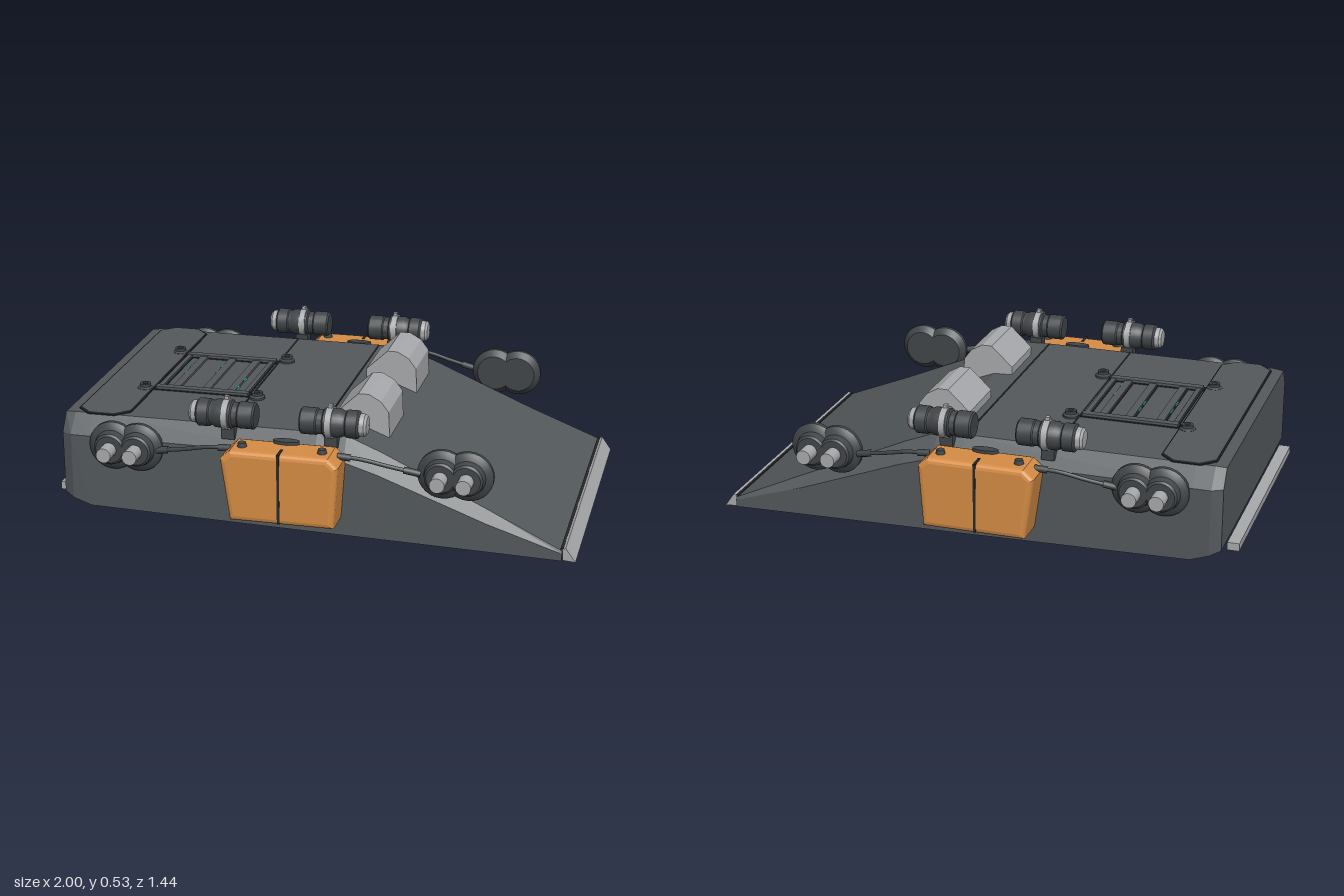
import * as THREE from 'three';
import { toCreasedNormals } from 'three/addons/utils/BufferGeometryUtils.js';

const mat = (name, color) => {
  const m = new THREE.MeshStandardMaterial({ color });
  m.name = name;
  return m;
};

export function createModel() {
  const hullGrey = mat('hull grey', 0x54595c);
  const darkGrey = mat('dark grey', 0x424649);
  const black = mat('seam black', 0x26292b);
  const steel = mat('steel', 0xa9aaad);
  const orange = mat('orange', 0xd68d45);
  const cyan = mat('cyan', 0x2fd6c4);
  const root = new THREE.Group();

  const add = (name, geo, material, x = 0, y = 0, z = 0) => {
    const m = new THREE.Mesh(geo, material);
    m.name = name;
    m.position.set(x, y, z);
    root.add(m);
    return m;
  };
  const box = (name, material, w, h, d, x, y, z) => add(name, new THREE.BoxGeometry(w, h, d), material, x, y, z);
  const lathe = (pts, seg = 28) =>
    toCreasedNormals(new THREE.LatheGeometry(pts.map(p => new THREE.Vector2(...p)), seg), 0.6);
  const poly = pts => new THREE.Shape(pts.map(p => new THREE.Vector2(...p)));
  // Profile in x-y, extruded evenly about z = 0
  const prism = (pts, depth) =>
    new THREE.ExtrudeGeometry(poly(pts), { depth, bevelEnabled: false }).translate(0, 0, -depth / 2);

  // Wedge hull: x, bottom, shoulder, top, half width at top, half width at side
  const stations = [
    [-0.95, 0.09, 0.33, 0.396, 0.515, 0.56],
    [-0.91, 0.075, 0.33, 0.4, 0.52, 0.583],
    [-0.84, 0.05, 0.33, 0.4, 0.52, 0.583],
    [0.03, 0.028, 0.33, 0.4, 0.52, 0.583],
    [0.14, 0.026, 0.315, 0.396, 0.523, 0.583],
    [0.27, 0.023, 0.275, 0.345, 0.527, 0.583],
    [0.67, 0.014, 0.125, 0.167, 0.547, 0.583],
    [0.95, 0.007, 0.035, 0.045, 0.578, 0.583],
  ];
  const rings = stations.map(([x, b, s, t, zt, zs]) =>
    [[x, t, -zt], [x, t, zt], [x, s, zs], [x, b, zs], [x, b, -zs], [x, s, -zs]]);
  const v = [];
  for (let i = 0; i < rings.length - 1; i++) {
    const a = rings[i], b = rings[i + 1];
    for (let j = 0; j < 6; j++) {
      const k = (j + 1) % 6;
      v.push(...a[j], ...a[k], ...b[k], ...a[j], ...b[k], ...b[j]);
    }
  }
  const rear = rings[0], nose = rings[rings.length - 1];
  for (let j = 1; j < 5; j++) v.push(...nose[0], ...nose[j], ...nose[j + 1], ...rear[0], ...rear[j + 1], ...rear[j]);
  const hull = new THREE.BufferGeometry();
  hull.setAttribute('position', new THREE.Float32BufferAttribute(v, 3));
  hull.computeVertexNormals();
  add('hull', hull, hullGrey);

  // Scoop lip, rear bar and skid rails
  add('frontLip', prism([[0.952, 0.007], [1, 0.003], [0.963, 0.055], [0.952, 0.05]], 1.15), steel);
  box('lipSeam', black, 0.01, 0.008, 1.15, 0.949, 0.049, 0);
  box('rearBar', steel, 0.045, 0.03, 0.96, -0.977, 0.075, 0);
  for (const s of [1, -1])
    add('skidRail', prism([[-0.45, 0.05], [-0.45, 0.026], [0.62, 0], [0.63, 0.02]], 0.05), steel, 0, 0, s * 0.365);

  // Octagonal rear hatch, laid flat over a slightly larger dark seam
  const octagon = (x0, x1, z, c) => [[x0 + c, -z], [x1 - c, -z], [x1, c - z], [x1, z - c],
    [x1 - c, z], [x0 + c, z], [x0, z - c], [x0, c - z]];
  const flat = (pts, h) =>
    new THREE.ExtrudeGeometry(poly(pts), { depth: h, bevelEnabled: false }).rotateX(-Math.PI / 2);
  add('hatchSeam', flat(octagon(-0.908, -0.702, 0.533, 0.05), 0.004), black, 0, 0.4, 0);
  add('rearHatch', flat(octagon(-0.903, -0.707, 0.528, 0.05), 0.007), hullGrey, 0, 0.4, 0);
  for (const x of [-0.315, 0.03]) box('deckSeam', black, 0.006, 0.004, 1.03, x, 0.4, 0);

  // Vent grate with slats and small lights tucked against them
  for (const s of [1, -1]) {
    box('grateEndRail', hullGrey, 0.37, 0.014, 0.03, -0.51, 0.406, s * 0.2);
    box('grateSeam', black, 0.38, 0.004, 0.042, -0.51, 0.401, s * 0.2);
    box('grateSideRail', hullGrey, 0.018, 0.012, 0.4, -0.51 + s * 0.172, 0.405, 0);
    box('grateSeam', black, 0.028, 0.004, 0.41, -0.51 + s * 0.172, 0.401, 0);
  }
  for (const x of [-0.62, -0.5, -0.4]) {
    box('slatSeam', black, 0.009, 0.004, 0.36, x - 0.016, 0.401, 0);
    box('slat', hullGrey, 0.03, 0.01, 0.36, x, 0.405, 0);
  }
  for (const [x, z] of [[-0.383, 0.14], [-0.383, 0.04], [-0.638, -0.07], [-0.518, -0.02], [-0.518, -0.09], [-0.638, 0.01]])
    box('ventLight', cyan, 0.004, 0.008, 0.035, x, 0.405, z);

  // Deck bolts
  const bolt = lathe([[0.031, 0], [0.031, 0.008], [0.022, 0.014], [0.022, 0.025], [0.011, 0.025], [0.011, 0.018], [0, 0.018]], 16);
  for (const x of [-0.735, -0.285])
    for (const z of [-0.225, 0.22]) add('deckBolt', bolt, darkGrey, x, 0.4, z);

  // Angled housings on the slope
  for (const s of [1, -1])
    add('slopeHousing', prism([[0.065, 0.38], [0.27, 0.33], [0.265, 0.445], [0.235, 0.485], [0.19, 0.51],
      [0.15, 0.51], [0.065, 0.43]], 0.25), steel, 0, 0, s * 0.253);

  // Lamp pointing along x; d gives the direction of the lens
  const lamp = (x, z, d) => {
    const turn = g => g.rotateZ(-d * Math.PI / 2);
    add('lampBody', turn(lathe([[0, 0], [0.044, 0], [0.05, 0.006], [0.05, 0.06], [0.046, 0.065], [0.046, 0.085],
      [0.053, 0.09], [0.053, 0.15], [0.047, 0.16], [0.047, 0.17], [0.052, 0.175], [0.052, 0.215], [0.044, 0.222], [0, 0.222]])),
      darkGrey, x, 0.46, z);
    add('lampLens', turn(lathe([[0.043, 0.218], [0.041, 0.24], [0.033, 0.249], [0, 0.252]])), steel, x, 0.46, z);
    add('lampClamp', turn(lathe([[0.05, 0.094], [0.059, 0.094], [0.059, 0.118], [0.05, 0.118]])), steel, x + d * 0.004, 0.46, z);
    box('lampClampLug', steel, 0.016, 0.016, 0.018, x + d * 0.11, 0.522, z);
    box('lampFoot', darkGrey, 0.05, 0.06, 0.05, x + d * 0.11, 0.39, z * 0.96);
  };

  // Stepped connector disc and its stud, facing outward on side s
  const disc = [[0, -0.035], [0.07, -0.035], [0.093, -0.01], [0.093, 0.006], [0.085, 0.014], [0.066, 0.022],
    [0.06, 0.048], [0.052, 0.054], [0, 0.054]];

  for (const s of [1, -1]) {
    // Side power box, rounded and slightly narrower at the bottom
    const shell = new THREE.ExtrudeGeometry(
      poly([[-0.24, 0.12], [0.115, 0.12], [0.13, 0.33], [0.105, 0.353], [-0.245, 0.353], [-0.27, 0.33]]),
      { depth: 0.11, bevelThickness: 0.02, bevelSize: 0.02, bevelSegments: 3 }).translate(0, 0, -0.055);
    add('powerBox', shell, orange, 0, 0, s * 0.642);
    box('powerBoxBand', black, 0.01, 0.27, 0.06, -0.07, 0.24, s * 0.688);
    box('powerBoxBackPlate', darkGrey, 0.36, 0.2, 0.03, -0.07, 0.24, s * 0.572);
    add('boxLatch', new THREE.CylinderGeometry(0.05, 0.05, 0.02, 24).scale(1, 1, 0.4), darkGrey, -0.07, 0.375, s * 0.59);
    for (const x of [-0.22, 0.08])
      add('boxScrew', new THREE.CylinderGeometry(0.015, 0.018, 0.018, 14), darkGrey, x, 0.38, s * 0.655);

    lamp(-0.19, s * 0.565, -1);
    lamp(-0.02, s * 0.565, 1);

    // Paired connectors at each end
    for (const x of [-0.74, -0.64, 0.51, 0.605]) {
      add('connectorDisc', lathe(disc).rotateX(s * Math.PI / 2), darkGrey, x, 0.305, s * 0.585);
      add('connectorStud', new THREE.CylinderGeometry(0.028, 0.028, 0.075, 20).rotateX(Math.PI / 2), steel, x, 0.305, s * 0.665);
    }

    // Cables from the box to the connectors, with ferrules at both ends
    for (const path of [
      [[-0.27, 0.35, 0.625], [-0.36, 0.345, 0.622], [-0.47, 0.32, 0.607], [-0.58, 0.3, 0.592]],
      [[0.13, 0.355, 0.625], [0.22, 0.348, 0.622], [0.32, 0.325, 0.61], [0.43, 0.302, 0.595]]]) {
      const pts = path.map(([x, y, z]) => new THREE.Vector3(x, y, z * s));
      add('cable', new THREE.TubeGeometry(new THREE.CatmullRomCurve3(pts), 20, 0.008, 8), darkGrey);
      for (const [a, b] of [[0, 1], [3, 2]]) {
        const end = pts[a].clone().lerp(pts[b], 0.55);
        add('cableFerrule', new THREE.TubeGeometry(new THREE.LineCurve3(pts[a], end), 1, 0.013, 10), darkGrey);
      }
    }
  }
  return root;
}
